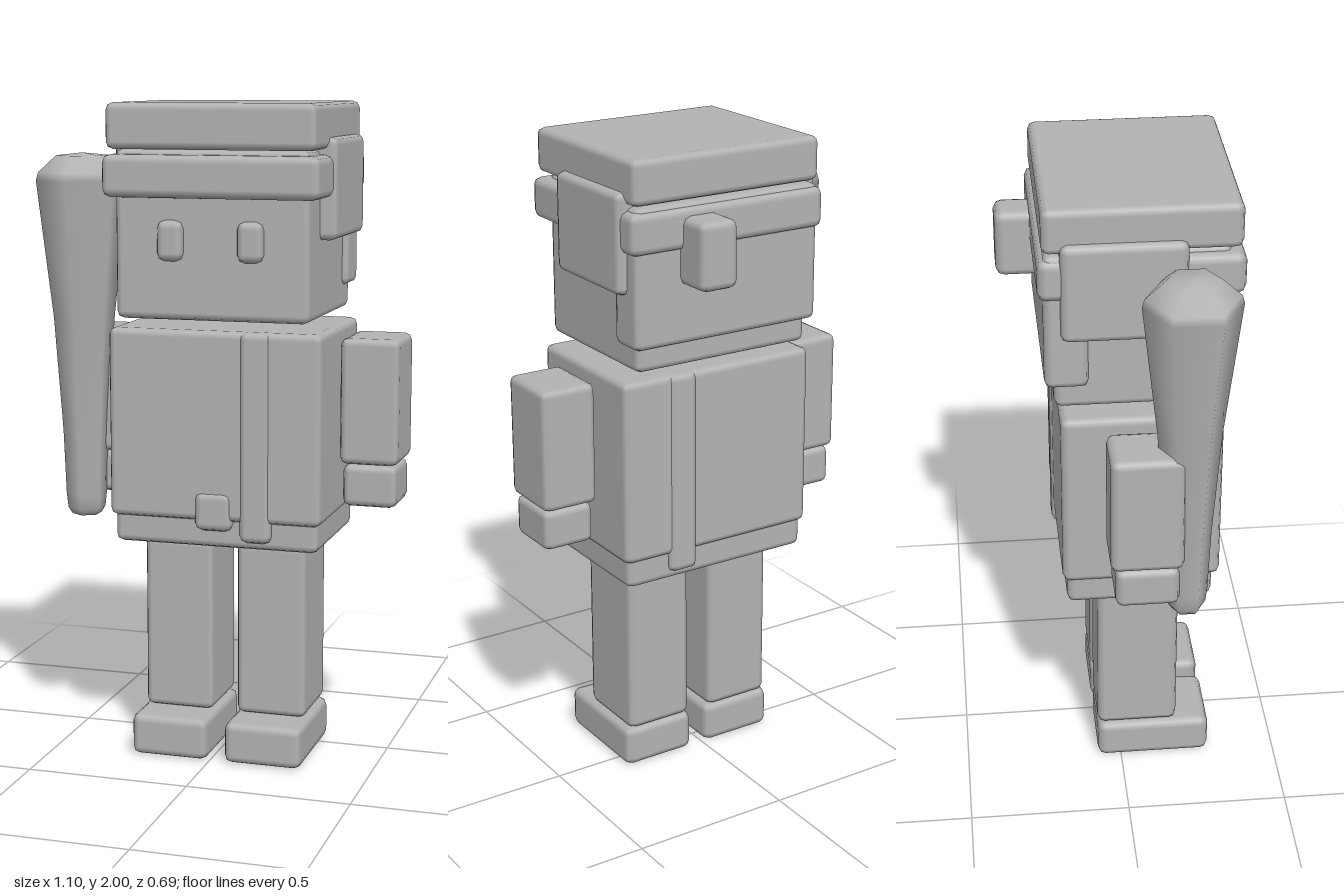
import * as THREE from 'three';
import { RoundedBoxGeometry } from 'three/addons/geometries/RoundedBoxGeometry.js';

export function createModel() {
  const model = new THREE.Group();
  model.name = 'blockFigure';
  const clay = new THREE.MeshStandardMaterial({ color: 0xb3b3b3 });
  clay.name = 'clay grey';

  // Soft-edged box given by its extents on each axis
  function block(name, [x0, x1], [y0, y1], [z0, z1], radius = 0.022) {
    const geometry = new RoundedBoxGeometry(x1 - x0, y1 - y0, z1 - z0, 1, radius);
    const mesh = new THREE.Mesh(geometry, clay);
    mesh.name = name;
    mesh.position.set((x0 + x1) / 2, (y0 + y1) / 2, (z0 + z1) / 2);
    model.add(mesh);
    return mesh;
  }

  // Head, hair and eyes
  block('head', [-0.28, 0.315], [1.365, 1.865], [-0.2, 0.305]);
  block('hair', [-0.3, 0.335], [1.44, 1.86], [-0.228, -0.1]);
  for (const x of [-0.105, 0.14]) {
    block('eye', [x - 0.04, x + 0.04], [1.54, 1.66], [0.27, 0.333], 0.024);
  }

  // Hat: crown, band, ear flaps and tail
  block('hatCrown', [-0.3, 0.34], [1.865, 2], [-0.23, 0.335]);
  block('hatBand', [-0.31, 0.353], [1.725, 1.85], [-0.243, 0.345], 0.025);
  block('rightEarFlap', [-0.325, -0.23], [1.6, 1.9], [-0.18, 0.18]);
  block('leftEarFlap', [0.27, 0.365], [1.6, 1.9], [-0.18, 0.18]);
  block('hatTail', [0.06, 0.185], [1.62, 1.825], [-0.345, -0.19], 0.025);

  // Torso, hips, chest strap and buckle
  block('torso', [-0.31, 0.35], [0.76, 1.335], [-0.185, 0.295]);
  block('hips', [-0.3, 0.337], [0.675, 0.82], [-0.172, 0.273]);
  block('strap', [0.1, 0.197], [0.7, 1.335], [-0.192, 0.302]);
  block('buckle', [-0.04, 0.077], [0.73, 0.85], [0.24, 0.305], 0.024);

  // Arms and legs, mirrored about the body's centre line
  const centre = 0.02;
  for (const side of [-1, 1]) {
    const label = side < 0 ? 'right' : 'left';
    const span = (a, b) => [centre + side * a, centre + side * b].sort((p, q) => p - q);
    block(label + 'Arm', span(0.352, 0.531), [0.93, 1.31], [-0.057, 0.16]);
    block(label + 'Hand', span(0.36, 0.525), [0.8, 0.927], [-0.042, 0.148]);
    block(label + 'Leg', span(0.038, 0.257), [0.13, 0.672], [-0.075, 0.18]);
    block(label + 'Foot', span(0.027, 0.27), [0, 0.13], [-0.075, 0.285], 0.025);
  }

  // Six-sided club, wider toward the top
  const profile = [
    [0, 0.735], [0.045, 0.735], [0.058, 0.755], [0.063, 0.8], [0.07, 1.0],
    [0.094, 1.35], [0.142, 1.765], [0.135, 1.79], [0.08, 1.84], [0, 1.848],
  ].map(([r, y]) => new THREE.Vector2(r, y));
  const club = new THREE.Mesh(new THREE.LatheGeometry(profile, 6), clay);
  club.name = 'club';
  club.position.set(-0.427, 0, 0.177);
  model.add(club);

  return model;
}
